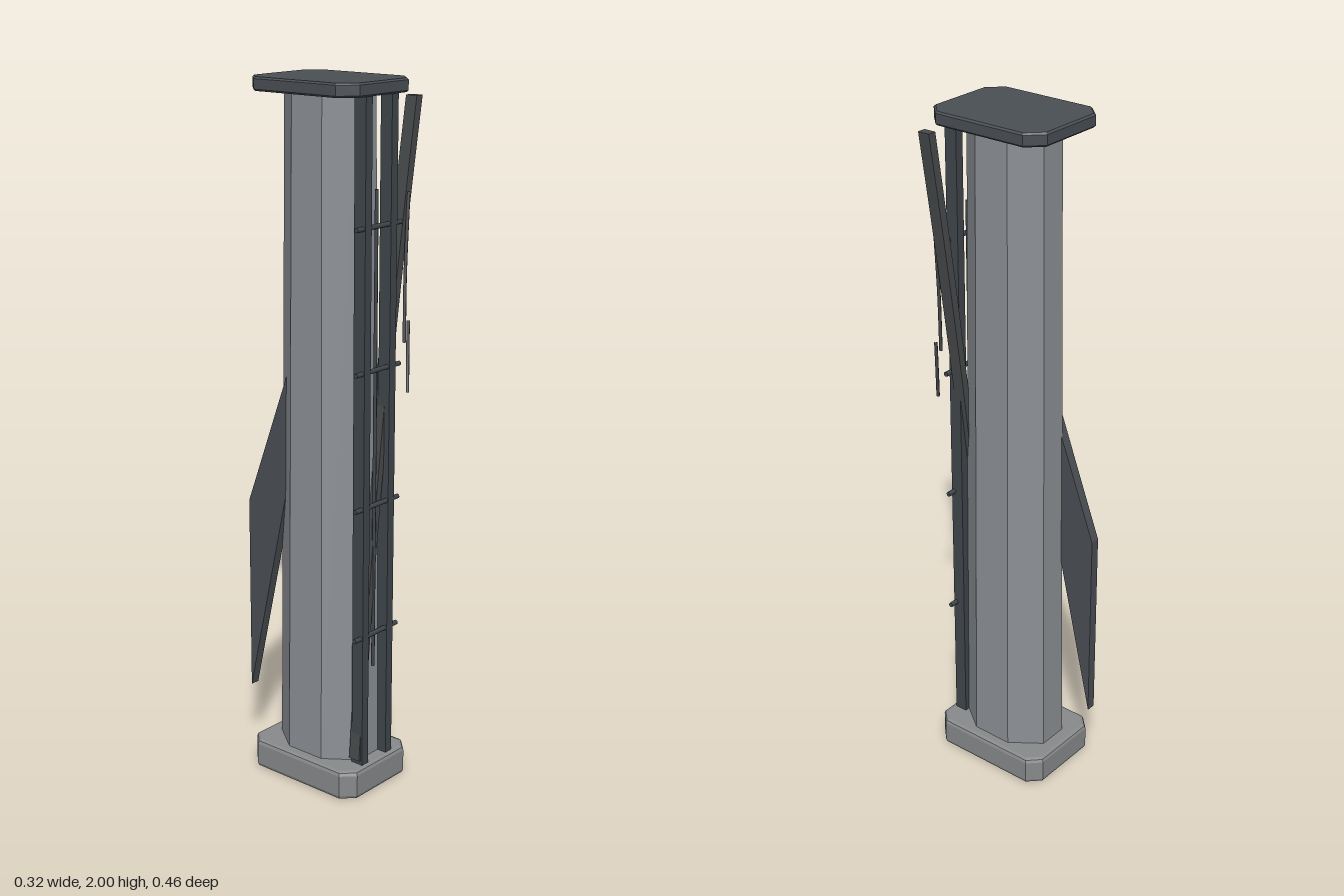
import * as THREE from 'three';

const CX = -0.018, CZ = 0.019; // column axis

const mat = (name, color) => new THREE.MeshStandardMaterial({ name, color });

export function createModel() {
  const group = new THREE.Group();
  const stone = mat('column grey', 0x8c9095);
  const footGrey = mat('base grey', 0x87898b);
  const slate = mat('cap slate', 0x4a4f54);
  const steel = mat('rail steel', 0x40464c);
  const strapGrey = mat('strap grey', 0x474a4c);

  const add = (name, geometry, material, x = 0, y = 0, z = 0) => {
    const mesh = new THREE.Mesh(geometry, material);
    mesh.name = name;
    mesh.position.set(x, y, z);
    group.add(mesh);
    return mesh;
  };

  // Horizontal slab with cut corners and a bevelled rim
  const slab = (w, d, h, cut, bevel, segments) => {
    const a = w / 2 - bevel, b = d / 2 - bevel;
    const shape = new THREE.Shape([
      [a, -b + cut], [a, b - cut], [a - cut, b], [-a + cut, b],
      [-a, b - cut], [-a, -b + cut], [-a + cut, -b], [a - cut, -b],
    ].map(([x, y]) => new THREE.Vector2(x, y)));
    return new THREE.ExtrudeGeometry(shape, {
      depth: h - 2 * bevel, bevelEnabled: true, bevelSize: bevel,
      bevelThickness: bevel, bevelSegments: segments,
    }).translate(0, 0, bevel).rotateX(-Math.PI / 2);
  };
  add('base', slab(0.284, 0.386, 0.086, 0.03, 0.012, 2), footGrey, CX, 0, CZ);
  add('cap', slab(0.284, 0.368, 0.037, 0.04, 0.005, 1), slate, CX, 1.963, CZ);

  // Tapered eight-sided column
  const k = 1 / Math.cos(Math.PI / 8);
  const column = new THREE.CylinderGeometry(0.126 * k, 0.148 * k, 1.9, 8)
    .rotateY(Math.PI / 8).scale(0.735, 1, 1).toNonIndexed();
  column.computeVertexNormals();
  add('column', column, stone, CX, 1.03, CZ);

  // Front rails, rungs and the thin centre rod
  for (const x of [-0.07, 0.036]) {
    add('rail', new THREE.BoxGeometry(0.026, 1.89, 0.038), steel, x, 1.025, 0.177);
  }
  for (const y of [0.475, 0.855, 1.237, 1.625]) {
    const rung = new THREE.CylinderGeometry(0.007, 0.007, 0.185, 8).rotateZ(Math.PI / 2);
    add('rung', rung, steel, -0.018, y, 0.188);
  }
  add('centreRod', new THREE.CylinderGeometry(0.005, 0.005, 1.35, 8), steel, -0.018, 1.045, 0.18);

  // Leaning strap, gently bent and widening upward
  const strap = new THREE.BoxGeometry(1, 1.85, 1, 1, 24, 1);
  const p = strap.attributes.position;
  for (let i = 0; i < p.count; i++) {
    const t = p.getY(i) / 1.85 + 0.5;
    const x = -0.083 + 0.19 * t + 0.037 * t * t;
    const z = 0.173 - 0.012 * Math.sin(Math.PI * t);
    p.setXYZ(i, x + p.getX(i) * (0.016 + 0.009 * t), 0.1 + 1.85 * t, z + p.getZ(i) * 0.036);
  }
  strap.computeVertexNormals();
  add('strap', strap, strapGrey);

  // Thin curved slivers beside the strap
  const slivers = [
    [[0.07, 1.16, 0.222], [0.094, 1.25, 0.202], [0.11, 1.35, 0.19]],
    [[0.064, 1.3, 0.213], [0.086, 1.48, 0.196], [0.108, 1.7, 0.187]],
  ];
  for (const points of slivers) {
    const curve = new THREE.CatmullRomCurve3(points.map((q) => new THREE.Vector3(...q)));
    add('sliver', new THREE.TubeGeometry(curve, 12, 0.005, 6), strapGrey);
  }

  // Slanted fin on the back, drawn in (z, y) and given thickness along x
  const outline = new THREE.Shape([
    [0.08, 0.87], [0.23, 0.21], [0.23, 0.79], [0.08, 1.19],
  ].map(([z, y]) => new THREE.Vector2(z, y)));
  const fin = new THREE.ExtrudeGeometry(outline, { depth: 0.028, bevelEnabled: false })
    .translate(0, 0, -0.014).rotateY(Math.PI / 2);
  add('fin', fin, slate, -0.07, 0, 0);

  return group;
}
